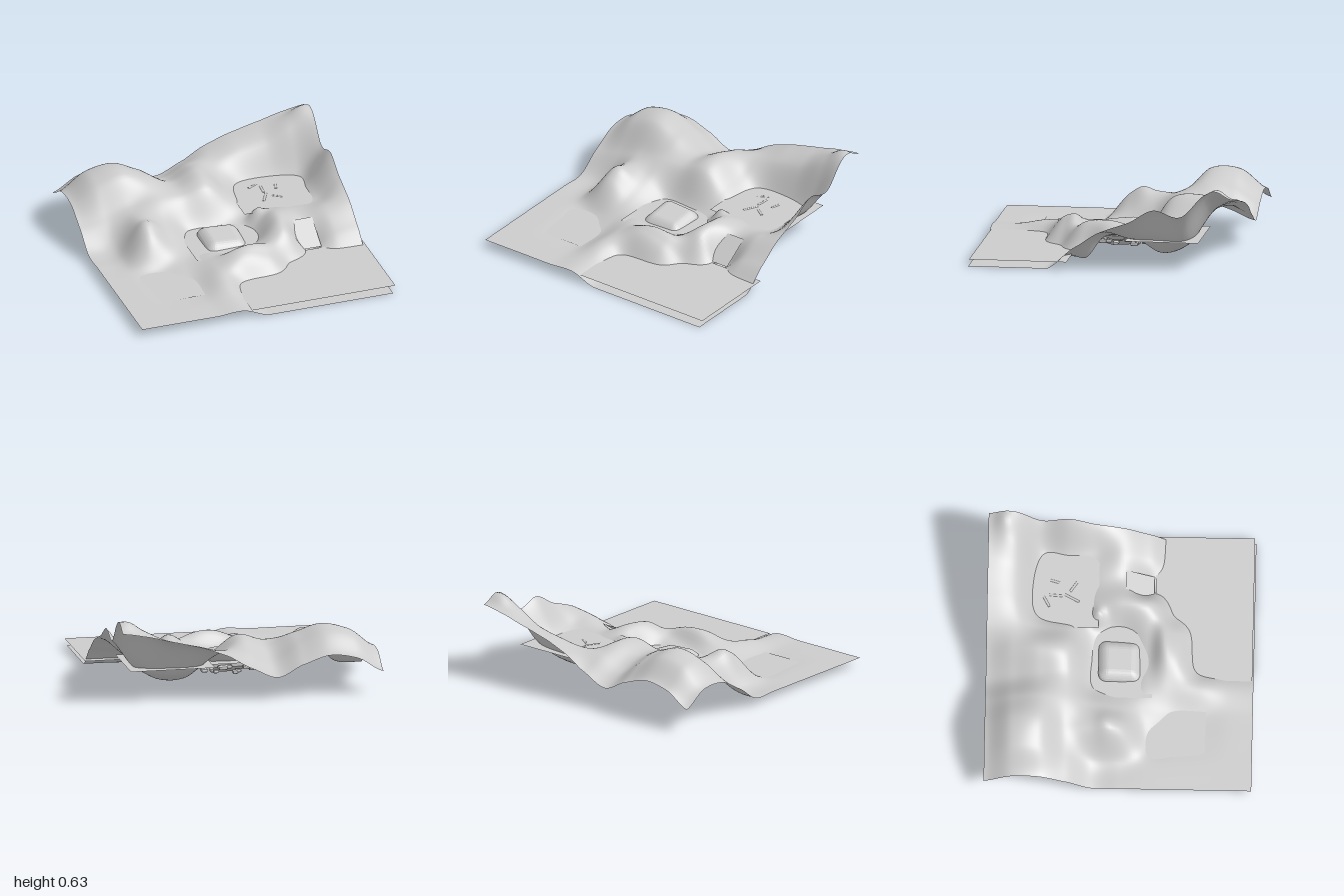
import * as THREE from 'three';
import { RoundedBoxGeometry } from 'three/addons/geometries/RoundedBoxGeometry.js';

const material = new THREE.MeshStandardMaterial({ color: 0xcccccc, side: THREE.DoubleSide });
const rockMaterial = new THREE.MeshStandardMaterial({ color: 0xcccccc, flatShading: true });

// Land cross-sections from back to front, 0.2 apart; heights from left edge to right edge
const SECTIONS = [
  [0.18, 0.29, 0.32, 0.26, 0.17, 0.25, 0.36, 0.43, 0.48, 0.53, 0.56],
  [0.29, 0.43, 0.46, 0.37, 0.25, 0.34, 0.35, 0.38, 0.42, 0.52, 0.6],
  [0.29, 0.42, 0.47, 0.41, 0.32, 0.39, 0.26, 0.13, 0.13, 0.21, 0.43],
  [0.19, 0.23, 0.29, 0.33, 0.32, 0.36, 0.23, 0.07, 0.07, 0.21, 0.48],
  [0.06, 0.08, 0.28, 0.23, 0.11, 0.11, 0.13, 0.2, 0.19, 0.21, 0.37],
  [0.06, 0.07, 0.26, 0.16, 0.08, 0.08, 0.07, 0.26, 0.19, 0.25, 0.29],
  [0.06, 0.06, 0.055, 0.09, 0.13, 0.115, 0.15, 0.24, 0.06, 0.14, 0.16],
  [0.06, 0.06, 0.045, 0.05, 0.14, 0.2, 0.16, 0.04, 0, 0, 0],
  [0.06, 0.06, 0.05, 0.05, 0.12, 0, 0, 0, 0, 0, 0],
  [0.06, 0.06, 0.06, 0.06, 0.08, 0, 0, 0, 0, 0, 0],
  [0.06, 0.06, 0.06, 0.06, 0.07, 0, 0, 0, 0, 0, 0],
];

// Smooth curve through evenly spaced values at position -1..1
function spline(at, p) {
  const f = (p + 1) * 5;
  const i = Math.min(Math.floor(f), 9);
  const t = f - i;
  const v = (k) => at(Math.min(Math.max(k, 0), 10));
  const m0 = (v(i + 1) - v(i - 1)) * 0.4;
  const m1 = (v(i + 2) - v(i)) * 0.4;
  const t2 = t * t, t3 = t2 * t;
  return (2 * t3 - 3 * t2 + 1) * v(i) + (t3 - 2 * t2 + t) * m0
    + (3 * t2 - 2 * t3) * v(i + 1) + (t3 - t2) * m1;
}

const bump = (x, z, cx, cz, rx, rz, h) =>
  h * Math.exp(-(((x - cx) / rx) ** 2) - ((z - cz) / rz) ** 2);

// Sections plus the pond lip, the small hill's top, the peak, the bank and the waterfall's cut
function landHeight(x, z) {
  const y = spline((row) => spline((col) => SECTIONS[row][col], x), z)
    + bump(x, z, 0.1, 0.31, 0.2, 0.06, 0.05)
    + bump(x, z, -0.57, -0.1, 0.12, 0.08, 0.04)
    + bump(x, z, 0.91, -0.88, 0.09, 0.07, 0.045)
    + bump(x, z, 0.31, -0.17, 0.06, 0.05, 0.06)
    - bump(x, z, 0.59, 0.15, 0.1, 0.08, 0.07);
  return Math.max(y, 0);
}

function mesh(name, geometry, mat = material) {
  const m = new THREE.Mesh(geometry, mat);
  m.name = name;
  return m;
}

// Flat sheet of water between two corners
function water(name, x0, x1, z0, z1, y) {
  const g = new THREE.PlaneGeometry(x1 - x0, z1 - z0).rotateX(-Math.PI / 2);
  g.translate((x0 + x1) / 2, y, (z0 + z1) / 2);
  return mesh(name, g);
}

function createLand() {
  const g = new THREE.PlaneGeometry(1.98, 1.99, 90, 90).rotateX(-Math.PI / 2);
  g.translate(-0.01, 0, -0.005);
  const p = g.attributes.position;
  for (let i = 0; i < p.count; i++) p.setY(i, landHeight(p.getX(i), p.getZ(i)));
  g.computeVertexNormals();
  return mesh('land', g);
}

// Boulder that narrows to a keel below and slopes in at the top
function createBoulder() {
  const g = new RoundedBoxGeometry(0.32, 0.17, 0.32, 3, 0.06);
  const p = g.attributes.position;
  for (let i = 0; i < p.count; i++) {
    const y = p.getY(i);
    const s = y > 0.03 ? 1 - (y - 0.03) * 3 : y < -0.03 ? 1 + (y + 0.03) * 8 : 1;
    const x = p.getX(i) * s, z = p.getZ(i) * s;
    p.setXYZ(i, x, y + (y > 0 ? x * -0.06 - z * 0.1 : 0), z);
  }
  g.computeVertexNormals();
  const m = mesh('boulder', g, rockMaterial);
  m.position.set(-0.015, 0.088, -0.005);
  return m;
}

// Broken ring of small stones beneath the boulder
function createStoneRing() {
  const ring = new THREE.Group();
  ring.name = 'stoneRing';
  let seed = 7;
  const rand = () => (seed = (seed * 16807) % 2147483647) / 2147483647;
  for (let i = 0; i < 30; i++) {
    const a = (i / 30) * Math.PI * 2;
    const r = (0.17 + 0.05 * rand()) / Math.pow(Math.cos(a) ** 4 + Math.sin(a) ** 4, 0.25);
    const stone = mesh('stone',
      new RoundedBoxGeometry(0.03 + 0.04 * rand(), 0.025, 0.03 + 0.04 * rand(), 1, 0.008), rockMaterial);
    stone.position.set(r * Math.cos(a) - 0.015, 0.03 + 0.045 * rand(), r * Math.sin(a));
    ring.add(stone);
  }
  return ring;
}

// Thin ripples on the upper pond: x, z, length, turn
function createRipples() {
  const ripples = new THREE.Group();
  ripples.name = 'ripples';
  for (const [x, z, length, turn] of [[0.42, -0.56, 0.09, 0.5], [0.47, -0.49, 0.1, 1.5],
    [0.45, -0.37, 0.12, 1.1], [0.54, -0.36, 0.09, -0.6], [0.58, -0.5, 0.07, 1.3]]) {
    const ripple = mesh('ripple', new THREE.CylinderGeometry(0.012, 0.012, length, 8).rotateZ(Math.PI / 2));
    ripple.position.set(x, 0.192, z);
    ripple.rotation.y = turn;
    ripples.add(ripple);
  }
  return ripples;
}

export function createModel() {
  const group = new THREE.Group();
  group.name = 'landscape';
  group.add(createLand());

  // Water sheets
  group.add(
    water('sea', -0.13, 1, 0.25, 0.98, 0.057),
    water('upperPond', 0.22, 0.86, -0.72, -0.17, 0.2),
    water('middlePond', -0.3, 0.29, -0.3, 0.24, 0.12),
    water('beachPond', -0.8, -0.25, 0.13, 0.64, 0.056),
  );

  // Waterfall sloping down to the sea
  const fall = new THREE.PlaneGeometry(0.18, Math.hypot(0.21, 0.14));
  fall.rotateX(-Math.PI / 2 + Math.atan2(0.14, 0.21)).translate(0.59, 0.13, 0.135);
  group.add(mesh('waterfall', fall));

  group.add(createBoulder(), createStoneRing(), createRipples());
  return group;
}
